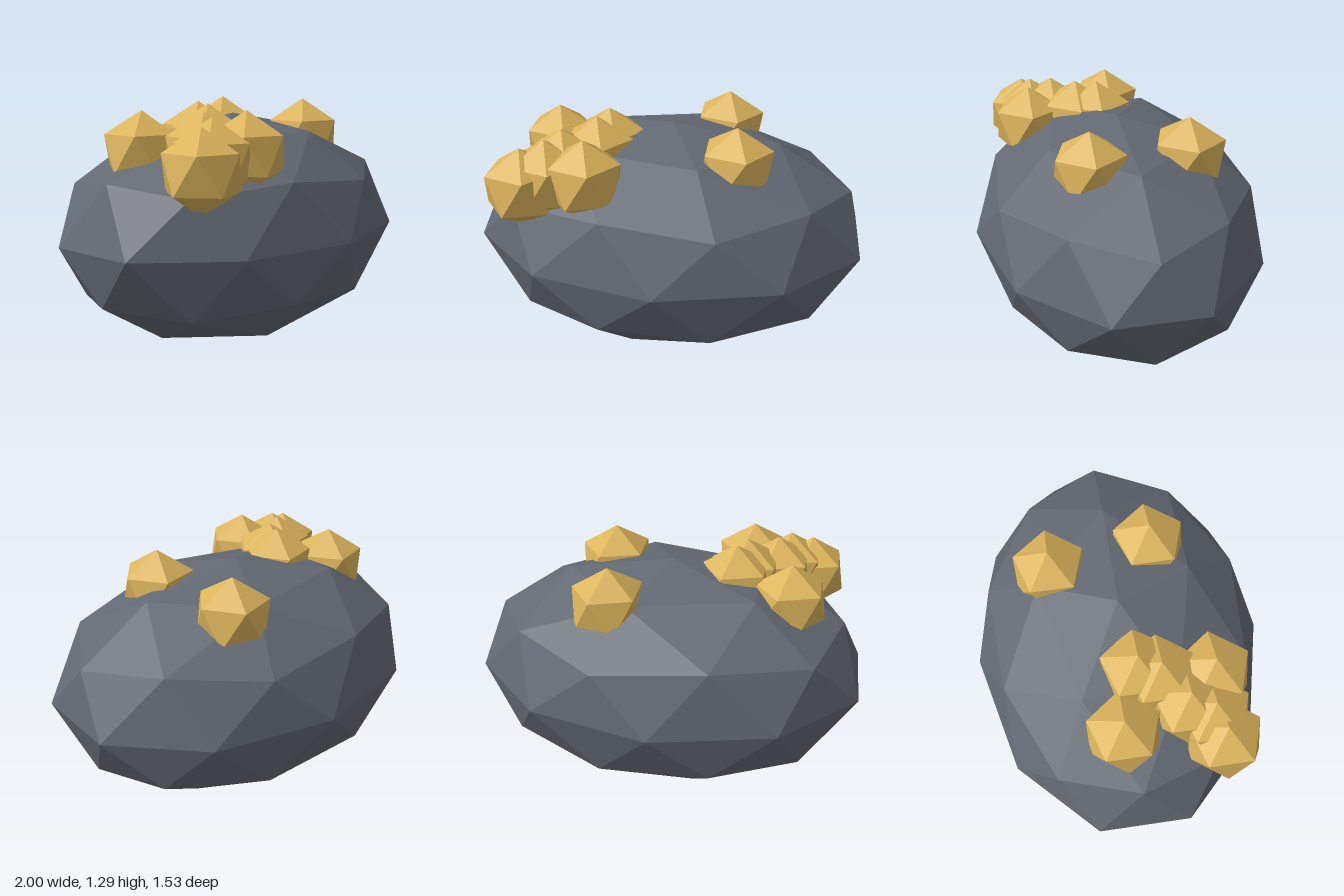
import * as THREE from 'three';

// Icosphere turned so that a vertex points straight up
function icosphere(detail, sx, sy, sz) {
  const geometry = new THREE.IcosahedronGeometry(1, detail);
  geometry.rotateZ(-Math.atan2(1, (1 + Math.sqrt(5)) / 2));
  geometry.scale(sx, sy, sz);
  geometry.computeVertexNormals();
  return geometry;
}

export function createModel() {
  const model = new THREE.Group();
  model.name = 'oreRock';

  const stone = new THREE.MeshStandardMaterial({ color: 0x636973, flatShading: true });
  const gold = new THREE.MeshStandardMaterial({ color: 0xdcb45c, flatShading: true });

  // Boulder: squashed faceted sphere resting on the ground
  const boulder = new THREE.Mesh(icosphere(1, 1.0515, 0.605, 0.765), stone);
  boulder.name = 'boulder';
  boulder.position.y = 0.605;
  model.add(boulder);

  // Gold nuggets half sunk into the top: x, height of tip, z
  const radius = 0.205;
  const nuggetGeometry = icosphere(0, radius, radius, radius);
  const nuggets = new THREE.Group();
  nuggets.name = 'nuggets';
  const tips = [
    [0.27, 1.28, -0.31],
    [0.347, 1.28, 0.207],
    [-0.61, 1.25, -0.057],
    [-0.32, 1.287, 0.048],
    [-0.365, 1.28, 0.155],
    [-0.52, 1.253, 0.27],
    [-0.58, 1.235, 0.38],
    [-0.695, 1.2, 0.418],
    [-0.378, 1.258, 0.413],
  ];
  tips.forEach(([x, y, z], i) => {
    const nugget = new THREE.Mesh(nuggetGeometry, gold);
    nugget.name = `nugget${i + 1}`;
    nugget.position.set(x, y - radius, z);
    nuggets.add(nugget);
  });
  model.add(nuggets);

  return model;
}
